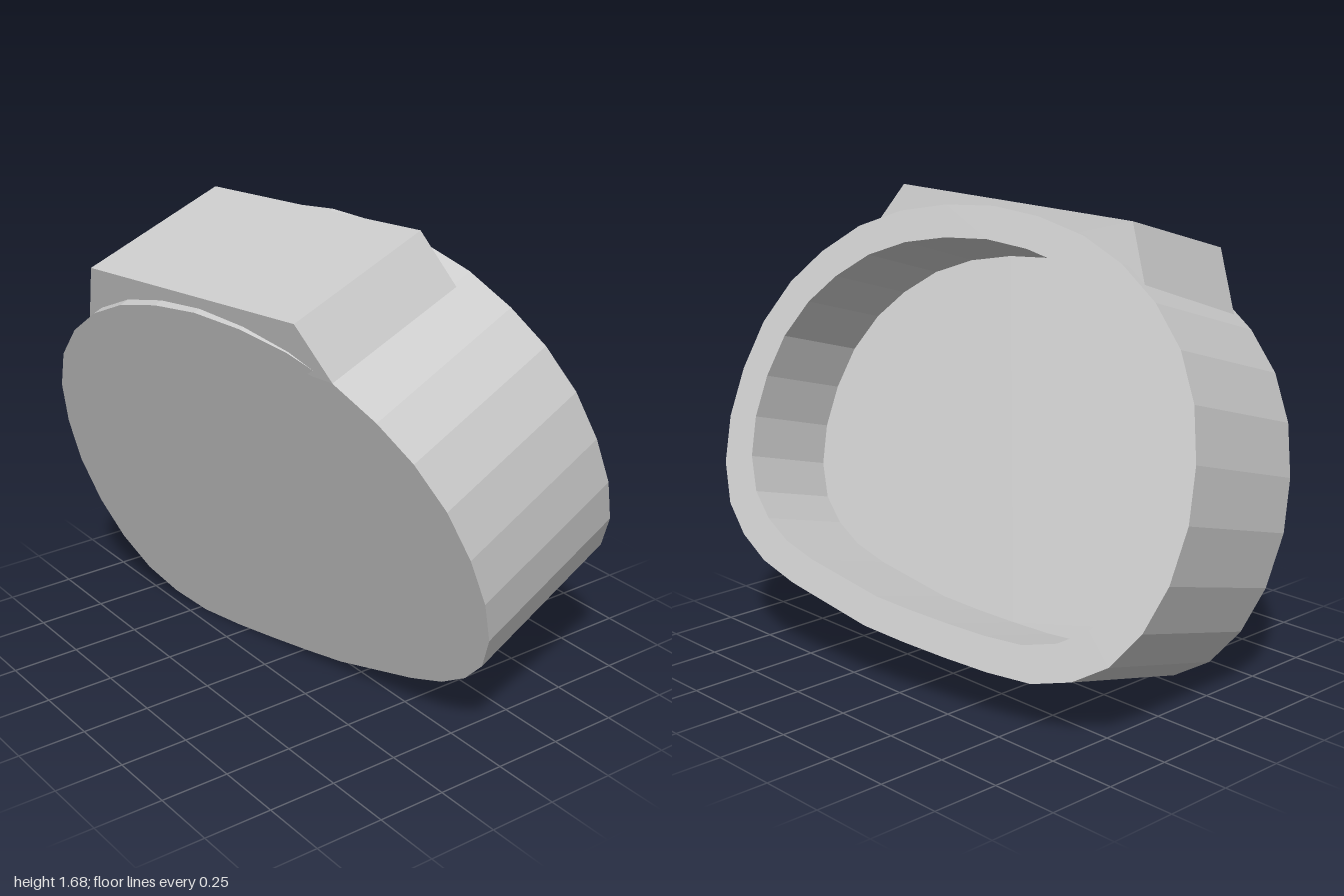
import * as THREE from 'three';

const material = new THREE.MeshStandardMaterial({ color: 0xcccccc, flatShading: true });

// Skins successive rings running front to back, and caps both ends.
// Every ring is counter-clockwise when seen from the front.
function skin(name, rings) {
  const positions = [];
  const put = (...points) => points.forEach((p) => positions.push(p.x, p.y, p.z));
  const count = rings[0].length;
  for (let r = 0; r + 1 < rings.length; r++) {
    const a = rings[r], b = rings[r + 1];
    for (let i = 0; i < count; i++) {
      const j = (i + 1) % count;
      put(a[i], b[i], b[j], a[i], b[j], a[j]);
    }
  }
  const first = rings[0], last = rings[rings.length - 1];
  const cap = (ring) => THREE.ShapeUtils.triangulateShape(ring.map((p) => new THREE.Vector2(p.x, p.y)), []);
  for (const [i, j, k] of cap(first)) put(first[i], first[j], first[k]);
  for (const [i, j, k] of cap(last)) put(last[k], last[j], last[i]);

  const geometry = new THREE.BufferGeometry();
  geometry.setAttribute('position', new THREE.Float32BufferAttribute(positions, 3));
  geometry.computeVertexNormals();
  const mesh = new THREE.Mesh(geometry, material);
  mesh.name = name;
  return mesh;
}

// Lays x, y points on a tilted plane z = c + sx * x + sy * y
const onPlane = (points, c, sx, sy) => points.map(([x, y]) => new THREE.Vector3(x, y, c + sx * x + sy * y));
const shift = (ring, offset, t = 1) => ring.map((p) => p.clone().addScaledVector(offset, t));

export function createModel() {
  const group = new THREE.Group();
  group.name = 'tiltedCup';

  // Rounded outline of the body, clockwise from the top
  const outline = [
    [0.1, 1.455], [0.29, 1.445], [0.47, 1.41], [0.63, 1.345], [0.765, 1.245], [0.87, 1.13],
    [0.95, 0.98], [0.99, 0.81], [0.998, 0.64], [0.97, 0.48], [0.905, 0.345], [0.81, 0.25],
    [0.695, 0.18], [0.55, 0.13], [0.38, 0.09], [0.21, 0.05], [0.04, 0.03], [-0.13, 0.015],
    [-0.3, 0.004], [-0.47, 0.004], [-0.61, 0.04], [-0.725, 0.11], [-0.81, 0.23], [-0.86, 0.385],
    [-0.875, 0.57], [-0.85, 0.75], [-0.795, 0.925], [-0.705, 1.08], [-0.58, 1.21],
    [-0.43, 1.315], [-0.265, 1.39], [-0.085, 1.435],
  ].reverse();
  const inset = outline.map(([x, y]) => [0.06 + (x - 0.06) * 0.877, 0.73 + (y - 0.73) * 0.85]);

  // Body: closed front, rim at the back, and a recess with a floor
  const bodyDepth = new THREE.Vector3(-0.125, 0.2, -0.645);
  const outer = onPlane(outline, 0.092, -0.22, 0.345);
  const inner = onPlane(inset, 0.092, -0.22, 0.345);
  group.add(skin('body', [
    outer,
    shift(outer, bodyDepth),
    shift(inner, bodyDepth),
    shift(inner, bodyDepth, 0.41),
  ]));

  // Raised block with sloping ends, its underside sunk into the wall
  const blockDepth = new THREE.Vector3(-0.105, 0.163, -0.575);
  const block = onPlane([
    [-0.425, 1.48], [-0.53, 1.26], [-0.4, 1.29], [-0.1, 1.39], [0.25, 1.41], [0.55, 1.35],
    [0.635, 1.35], [0.53, 1.525],
  ], 0.156, -0.175, 0.28);
  group.add(skin('topBlock', [block, shift(block, blockDepth)]));

  return group;
}
